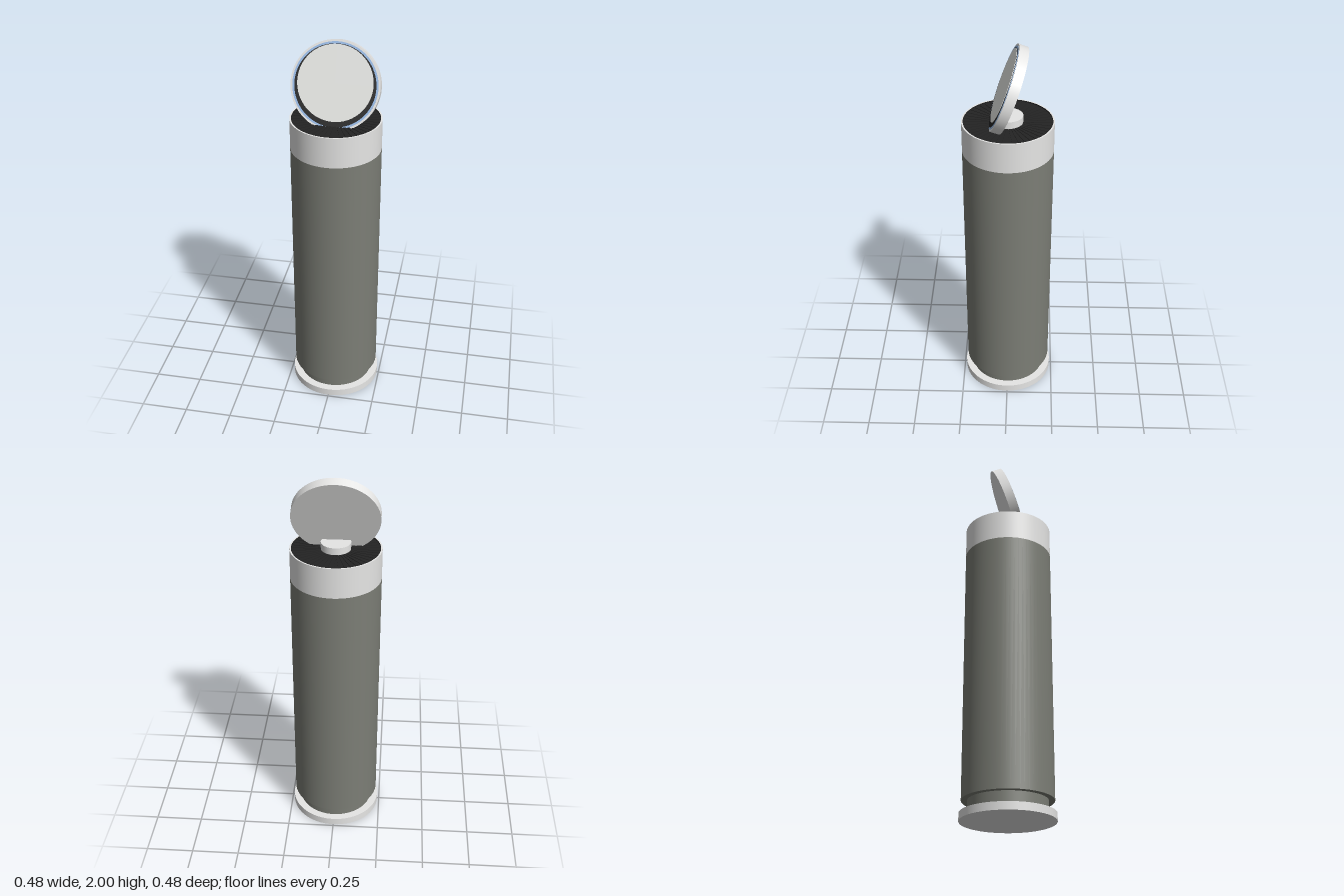
import * as THREE from 'three';

const SIDES = 64;

function material(name, color) {
  const m = new THREE.MeshStandardMaterial({ color });
  m.name = name;
  return m;
}

export function createModel() {
  const metal = material('pale metal', 0xe6e6e5);
  const olive = material('olive grey', 0x7c7e76);
  const black = material('black', 0x242424);
  const glass = material('pale panel', 0xe6e7e4);
  const blue = material('light blue trim', 0xa6cbfa);

  const model = new THREE.Group();
  model.name = 'lidded canister';

  // Upright disc between two heights
  function disc(name, radius, y0, y1, mat, parent = model) {
    const mesh = new THREE.Mesh(new THREE.CylinderGeometry(radius, radius, y1 - y0, SIDES), mat);
    mesh.position.y = (y0 + y1) / 2;
    mesh.name = name;
    parent.add(mesh);
    return mesh;
  }

  // Stacked body
  disc('base', 0.24, 0, 0.04, metal);
  disc('neck', 0.2, 0.04, 0.102, olive);
  disc('body', 0.23, 0.102, 1.455, olive);

  // Collar: a ring open at the top, around the dark grille
  const profile = [[0.23, 1.455], [0.23, 1.615], [0.222, 1.615], [0.222, 1.595]];
  for (let i = 0; i < profile.length - 1; i++) {
    const points = [profile[i], profile[i + 1]].map(([r, y]) => new THREE.Vector2(r, y));
    const wall = new THREE.Mesh(new THREE.LatheGeometry(points, SIDES), i === 2 ? black : metal);
    wall.name = ['collarWall', 'collarRim', 'collarInside'][i];
    model.add(wall);
  }

  // Grille floor with radial fins
  disc('grilleFloor', 0.2225, 1.58, 1.607, black);
  const finGeometry = new THREE.BoxGeometry(0.15, 0.004, 0.01);
  finGeometry.translate(0.146, 1.608, 0);
  const fins = new THREE.Group();
  fins.name = 'grilleFins';
  for (let i = 0; i < 44; i++) {
    const fin = new THREE.Mesh(finGeometry, black);
    fin.name = 'fin';
    fin.rotation.y = (i / 44) * Math.PI * 2;
    fins.add(fin);
  }
  model.add(fins);

  // Centre button
  disc('button', 0.075, 1.6, 1.646, metal);

  // Tilted round lid with a trimmed panel facing forwards
  const lid = new THREE.Group();
  lid.name = 'lid';
  lid.position.set(0, 1.793, 0.022);
  lid.rotation.x = THREE.MathUtils.degToRad(70);
  disc('lidDisc', 0.22, -0.049, 0, metal, lid);
  disc('blueTrim', 0.21, 0, 0.002, blue, lid);
  disc('blackRing', 0.2, 0, 0.003, black, lid);
  disc('panel', 0.186, 0, 0.005, glass, lid).position.z = -0.012;
  model.add(lid);

  return model;
}
